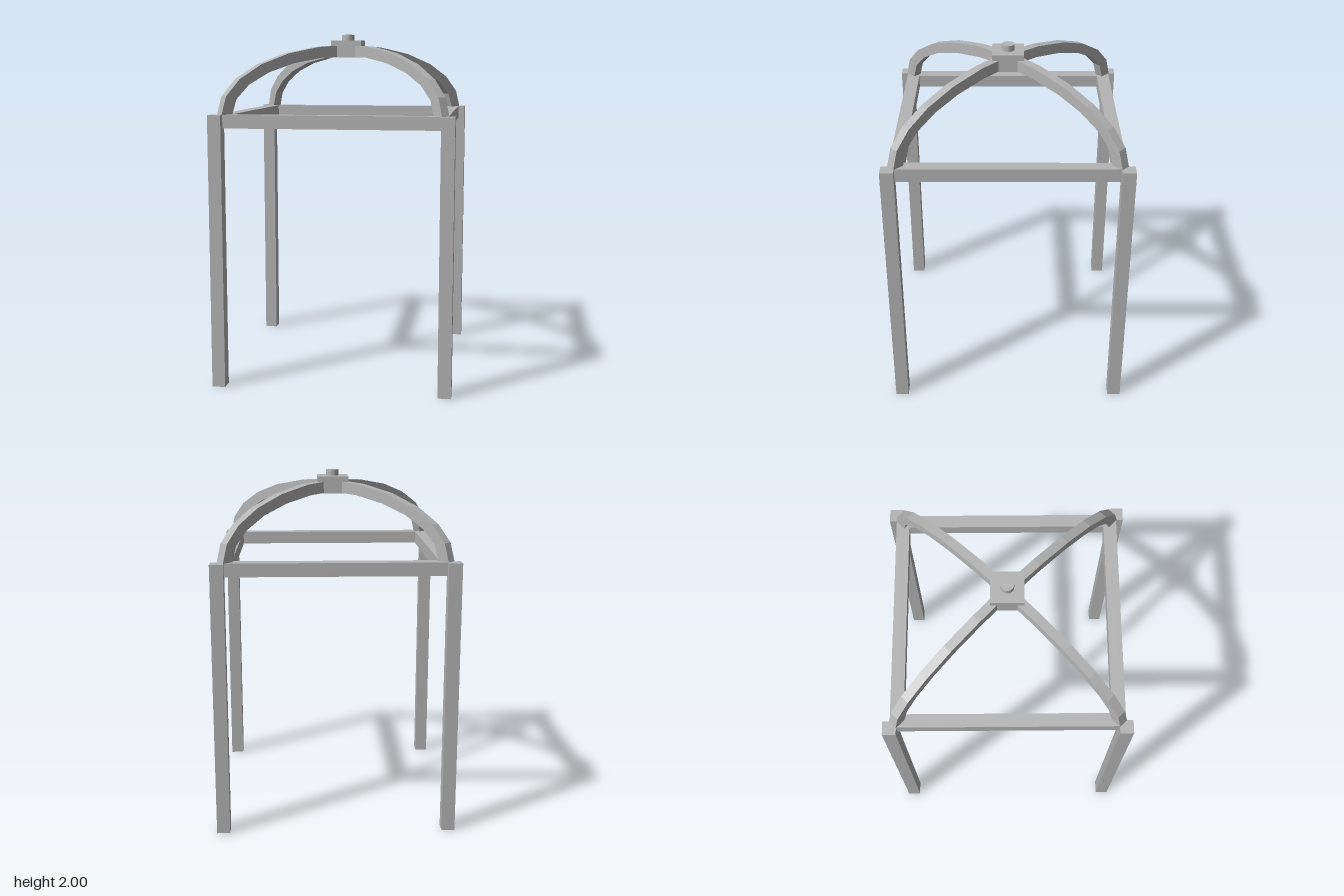
import * as THREE from 'three';

const POST = 0.075, POST_POS = 0.6425, POST_TOP = 1.55;
const BEAM = 0.075, BEAM_POS = 0.6025;
const RIB_WIDTH = 0.052, RIB_STEPS = 6;

// Quarter-ellipse band, rising from the post top to the crown
function ribGeometry() {
  const outer = [], inner = [];
  for (let i = 0; i <= RIB_STEPS; i++) {
    const a = (i / RIB_STEPS) * Math.PI / 2;
    outer.push(new THREE.Vector2(0.885 * Math.cos(a), 0.39 * Math.sin(a)));
    inner.push(new THREE.Vector2(0.817 * Math.cos(a), 0.325 * Math.sin(a)));
  }
  const shape = new THREE.Shape([...outer, ...inner.reverse()]);
  const geometry = new THREE.ExtrudeGeometry(shape, { depth: RIB_WIDTH, bevelEnabled: false });
  return geometry.translate(0, POST_TOP, -RIB_WIDTH / 2);
}

export function createModel() {
  const model = new THREE.Group();
  model.name = 'pavilionFrame';
  const grey = new THREE.MeshStandardMaterial({ color: 0xb4b4b4, flatShading: true });
  grey.name = 'grey';

  const add = (name, geometry, x = 0, y = 0, z = 0, turn = 0) => {
    const mesh = new THREE.Mesh(geometry, grey);
    mesh.name = name;
    mesh.position.set(x, y, z);
    mesh.rotation.y = turn;
    model.add(mesh);
  };

  const post = new THREE.BoxGeometry(POST, POST_TOP, POST);
  const beam = new THREE.BoxGeometry(2 * (POST_POS - POST / 2), BEAM, BEAM);
  const rib = ribGeometry();

  // One post, beam and curved rib per corner
  for (let i = 0; i < 4; i++) {
    const side = i * Math.PI / 2, corner = side + Math.PI / 4;
    const reach = POST_POS * Math.SQRT2;
    add('post', post, reach * Math.cos(corner), POST_TOP / 2, reach * Math.sin(corner));
    add('beam', beam, BEAM_POS * Math.sin(side), POST_TOP - BEAM / 2, BEAM_POS * Math.cos(side), side);
    add('roofRib', rib, 0, 0, 0, corner);
  }

  // Crown block and its short peg
  add('crownBlock', new THREE.BoxGeometry(0.18, 0.1, 0.18), 0, 1.916, 0);
  add('crownPeg', new THREE.CylinderGeometry(0.037, 0.037, 0.05, 24), 0, 1.975, 0);

  return model;
}
